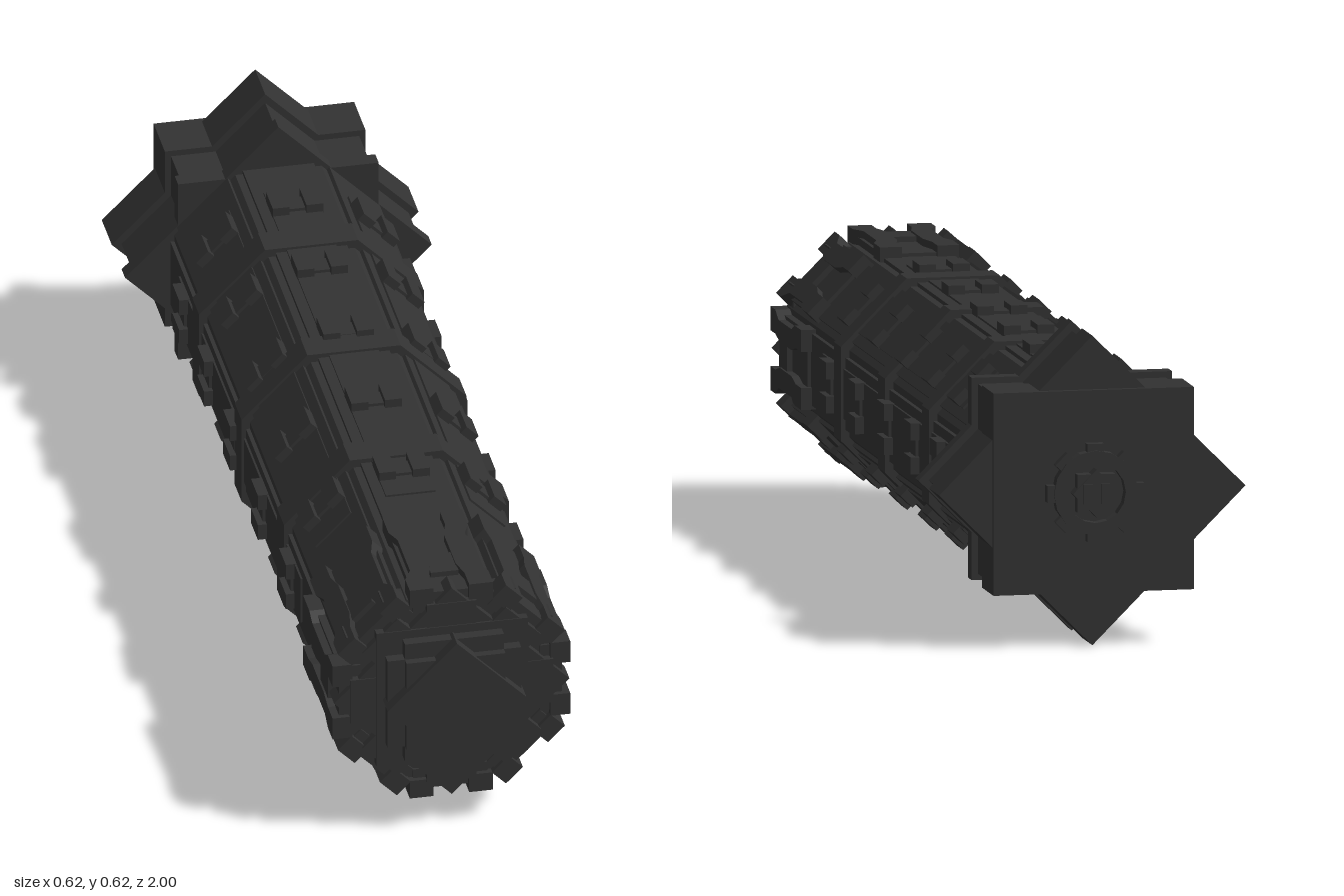
import * as THREE from 'three';

const AXIS_Y = 0.31;

export function createModel() {
  const model = new THREE.Group();
  model.name = 'ribbedHandle';
  const charcoal = new THREE.MeshStandardMaterial({ color: 0x323232 });
  charcoal.name = 'charcoal';

  // Everything is built around the z axis, then lifted
  const body = new THREE.Group();
  body.name = 'handle';
  body.position.y = AXIS_Y;
  model.add(body);

  const add = (parent, name, geometry) => {
    const mesh = new THREE.Mesh(geometry, charcoal);
    mesh.name = name;
    parent.add(mesh);
    return mesh;
  };
  // Box between z0 and z1, and between the heights y0 and y1
  const box = (parent, name, x, w, y0, y1, z0, z1) => {
    const mesh = add(parent, name, new THREE.BoxGeometry(w, y1 - y0, z1 - z0));
    mesh.position.set(x, (y0 + y1) / 2, (z0 + z1) / 2);
    return mesh;
  };
  // Square block, optionally turned to stand on its corner
  const square = (name, half, z0, z1, turned) => {
    const mesh = box(body, name, 0, half * 2, -half, half, z0, z1);
    if (turned) mesh.rotation.z = Math.PI / 4;
    return mesh;
  };
  // Octagonal prism with flat sides up, given its flat-to-centre distance
  const octagon = (name, apothem, z0, z1) => {
    const r = apothem / Math.cos(Math.PI / 8);
    const geo = new THREE.CylinderGeometry(r, r, z1 - z0, 8).toNonIndexed();
    geo.rotateY(Math.PI / 8).rotateX(Math.PI / 2);
    geo.computeVertexNormals();
    add(body, name, geo).position.z = (z0 + z1) / 2;
  };
  // Flat outline in (x, z), raised from y0 to y1
  const plate = (parent, name, points, y0, y1) => {
    const shape = new THREE.Shape(points.map(([x, z]) => new THREE.Vector2(x, -z)));
    const geo = new THREE.ExtrudeGeometry(shape, { depth: y1 - y0, bevelEnabled: false });
    geo.rotateX(-Math.PI / 2);
    add(parent, name, geo).position.y = y0;
  };

  // Core and bands
  octagon('core', 0.21, -0.75, 0.93);
  for (const z of [0.38, -0.03, -0.44]) octagon('band', 0.227, z - 0.033, z + 0.033);

  // Eight facets: long panels, grip studs and front claws
  for (let k = 0; k < 8; k++) {
    const facet = new THREE.Group();
    facet.name = 'facet';
    facet.rotation.z = (k * Math.PI) / 4;
    body.add(facet);

    box(facet, 'panel', 0, 0.144, 0.19, 0.218, -0.73, 0.67);
    box(facet, 'raisedPanel', 0, 0.1, 0.19, 0.222, -0.63, 0.55);

    for (const z of [0.46, 0.19, -0.08, -0.33, -0.57]) {
      box(facet, 'studBase', 0, 0.1, 0.2, 0.228, z - 0.022, z + 0.022);
      for (const side of [-1, 1]) {
        box(facet, 'stud', side * 0.034, 0.034, 0.2, 0.24, z - 0.033, z + 0.033);
      }
    }

    // Claw: two waisted rails over a base, with a small catch between
    box(facet, 'clawBase', 0, 0.15, 0.18, 0.225, 0.67, 0.935);
    for (const s of [-1, 1]) {
      plate(facet, 'clawRail', [
        [s * 0.036, 0.66], [s * 0.08, 0.66], [s * 0.08, 0.72], [s * 0.068, 0.75],
        [s * 0.068, 0.87], [s * 0.084, 0.9], [s * 0.084, 0.945], [s * 0.036, 0.945],
        [s * 0.036, 0.9], [s * 0.026, 0.86], [s * 0.026, 0.75], [s * 0.036, 0.71],
      ], 0.2, 0.24);
    }
    box(facet, 'clawCatch', 0, 0.056, 0.21, 0.236, 0.81, 0.88);
    box(facet, 'clawTip', 0, 0.1, 0.15, 0.205, 0.93, 0.95);
  }

  // Stepped collar behind the claw tips
  box(body, 'collarUpright', 0, 0.27, -0.208, 0.208, 0.88, 0.925);
  box(body, 'collarAcross', 0, 0.416, -0.135, 0.135, 0.88, 0.925);

  // Front emitter: stacked straight and turned squares
  square('emitterBase', 0.153, 0.9, 0.952, false);
  square('emitterBaseTurned', 0.168, 0.9, 0.948, true);
  box(body, 'emitterStepAcross', 0, 0.27, -0.1, 0.1, 0.94, 0.974);
  box(body, 'emitterStepUpright', 0, 0.2, -0.135, 0.135, 0.94, 0.974);
  square('emitterBlock', 0.1, 0.95, 0.99, false);
  square('emitterTip', 0.099, 0.95, 1.0, true);

  // Rear pommel: an eight-pointed star, pinched in the middle
  for (const [z0, z1, straight, turned] of [
    [-0.76, -0.727, 0.2025, 0.219],
    [-0.855, -0.76, 0.19, 0.205],
    [-0.952, -0.855, 0.2025, 0.219],
  ]) {
    square('pommelStraight', straight, z0, z1, false);
    square('pommelTurned', turned, z0, z1, true);
  }
  square('pommelCap', 0.2025, -0.964, -0.95, false);

  // Rear boss: toothed ring around a small hub
  const ring = new THREE.Shape();
  ring.absarc(0, 0, 0.085, 0, Math.PI * 2, false);
  const hole = new THREE.Path();
  hole.absarc(0, 0, 0.06, 0, Math.PI * 2, true);
  ring.holes.push(hole);
  const ringGeo = new THREE.ExtrudeGeometry(ring, { depth: 0.027, bevelEnabled: false, curveSegments: 8 });
  add(body, 'bossRing', ringGeo).position.z = -0.988;
  for (let k = 0; k < 8; k++) {
    const tooth = new THREE.Group();
    tooth.name = 'bossTooth';
    tooth.rotation.z = (k * Math.PI) / 4;
    body.add(tooth);
    box(tooth, 'tooth', 0, 0.034, 0.07, 0.098, -0.984, -0.96);
  }
  square('hub', 0.038, -0.99, -0.96, false);
  square('hubTurned', 0.034, -0.994, -0.96, true);
  for (const s of [-1, 1]) box(body, 'hubPin', s * 0.018, 0.018, -0.02, 0.02, -1.0, -0.98);

  return model;
}
